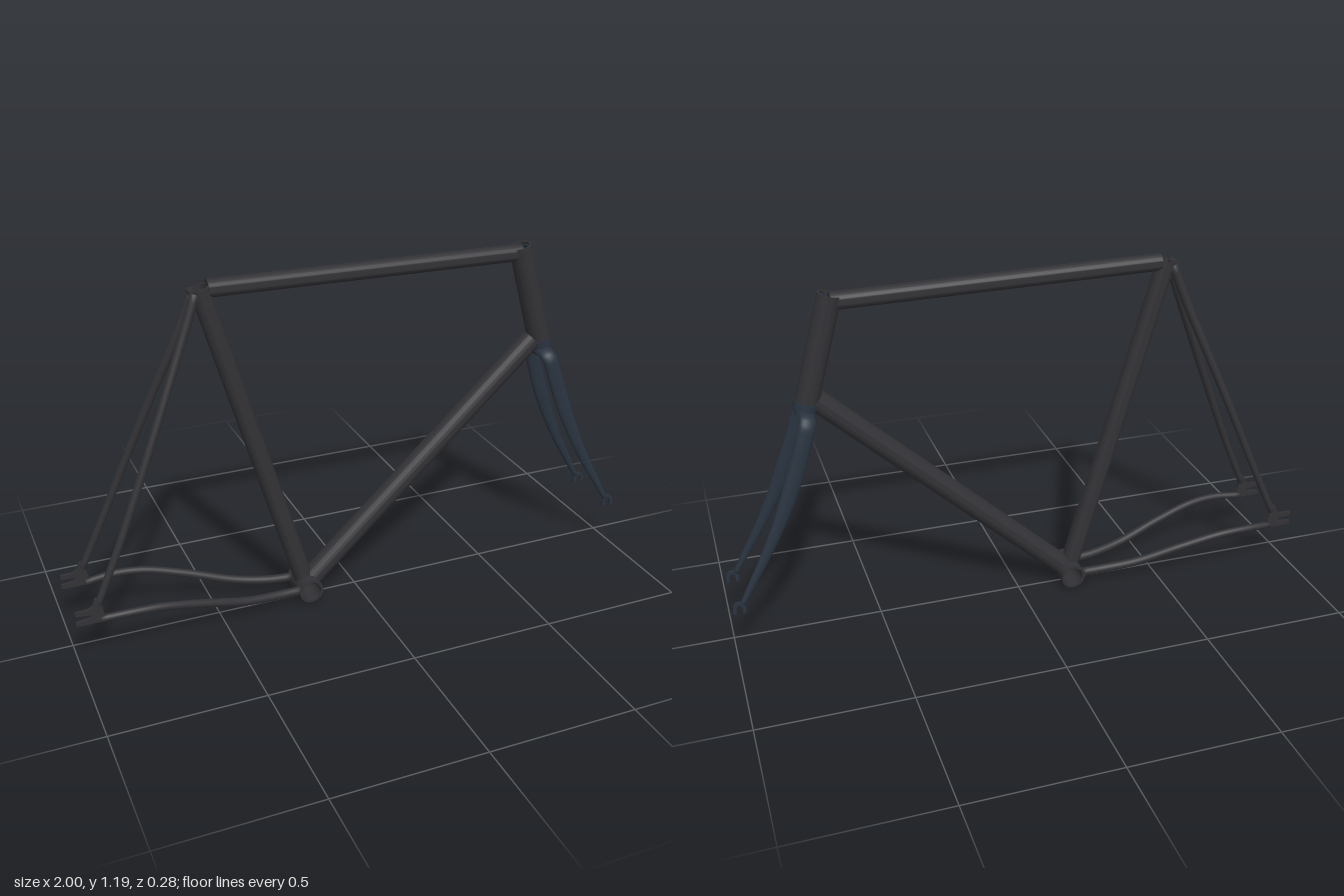
import * as THREE from 'three';
import { toCreasedNormals } from 'three/addons/utils/BufferGeometryUtils.js';

const frameMat = new THREE.MeshStandardMaterial({ color: 0x323236 });
const forkMat = new THREE.MeshStandardMaterial({ color: 0x29333f });
const V = (x, y, z = 0) => new THREE.Vector3(x, y, z);

function add(parent, name, geo, mat) {
  const mesh = new THREE.Mesh(geo, mat);
  mesh.name = name;
  parent.add(mesh);
  return mesh;
}

// Straight tube from a to b with wall; cope > 0 hollows the start to sit on a round shell
function tube(parent, name, a, b, ro, ri, mat, cope = 0) {
  const dir = b.clone().sub(a), len = dir.length();
  const profile = [[ri, 0], [ro, 0], [ro, len], [ri, len], [ri, 0]].map(([x, y]) => new THREE.Vector2(x, y));
  const geo = new THREE.LatheGeometry(profile, 40);
  const p = geo.attributes.position;
  if (cope) for (let i = 0; i < p.count; i++) {
    if (p.getY(i) < 1e-6) p.setY(i, Math.sqrt(Math.max(0, cope ** 2 - p.getX(i) ** 2)));
  }
  const mesh = add(parent, name, toCreasedNormals(geo, 0.6), mat);
  mesh.position.copy(a);
  mesh.quaternion.setFromUnitVectors(V(0, 1, 0), dir.normalize());
  return mesh;
}

// Bent tube with an oval section; size(t) gives the half widths along and across ref
function sweep(points, size, ref, steps = 40, sides = 18) {
  const curve = new THREE.CatmullRomCurve3(points, false, 'centripetal');
  const pos = [], idx = [];
  for (let i = 0; i <= steps; i++) {
    const c = curve.getPointAt(i / steps), t = curve.getTangentAt(i / steps);
    const u = ref.clone().addScaledVector(t, -t.dot(ref)).normalize();
    const v = t.clone().cross(u);
    const [ra, rb] = size(i / steps);
    for (let j = 0; j < sides; j++) {
      const w = j / sides * Math.PI * 2;
      const q = c.clone().addScaledVector(u, Math.cos(w) * ra).addScaledVector(v, Math.sin(w) * rb);
      pos.push(q.x, q.y, q.z);
      const a = i * sides + j, b = i * sides + (j + 1) % sides;
      if (i < steps) idx.push(a, b, a + sides, b, b + sides, a + sides);
    }
  }
  // end caps
  const last = steps * sides, centre = pos.length / 3;
  for (const t of [0, 1]) pos.push(...curve.getPointAt(t).toArray());
  for (let j = 0; j < sides; j++) {
    const k = (j + 1) % sides;
    idx.push(centre, k, j, centre + 1, last + j, last + k);
  }
  const geo = new THREE.BufferGeometry();
  geo.setAttribute('position', new THREE.Float32BufferAttribute(pos, 3));
  geo.setIndex(idx);
  geo.computeVertexNormals();
  return geo;
}

// Flat plate in the xy plane, centred on z
function plate(shape, depth) {
  return new THREE.ExtrudeGeometry(shape, { depth, bevelEnabled: false, curveSegments: 12 }).translate(0, 0, -depth / 2);
}

export function createModel() {
  const model = new THREE.Group();
  model.name = 'bicycleFrame';
  const frame = new THREE.Group(), fork = new THREE.Group();
  frame.name = 'frame';
  fork.name = 'fork';
  model.add(frame, fork);

  // Main triangle
  const bb = V(-0.185, 0.043), seatTop = V(-0.51, 1.163);
  const headTop = V(0.602, 1.166), headLow = V(0.696, 0.824);
  tube(frame, 'bottomBracketShell', bb.clone().setZ(-0.064), bb.clone().setZ(0.064), 0.043, 0.034, frameMat);
  tube(frame, 'seatTube', bb, seatTop, 0.032, 0.026, frameMat, 0.038);
  tube(frame, 'downTube', bb, V(0.668, 0.826), 0.037, 0.001, frameMat, 0.038);
  tube(frame, 'topTube', V(-0.486, 1.158), V(0.603, 1.143), 0.029, 0.001, frameMat);
  tube(frame, 'headTube', headTop, headLow, 0.038, 0.031, frameMat);

  // Seat clamp ear behind the seat tube
  const ear = add(frame, 'seatClampEar', new THREE.CylinderGeometry(0.011, 0.011, 0.04, 20).rotateX(Math.PI / 2), frameMat);
  ear.position.set(-0.535, 1.152, 0);

  // Rear dropout plate with a slot open to the back
  const rear = new THREE.Shape([
    [-0.935, 0.235], [-0.918, 0.235], [-0.912, 0.19], [-0.9, 0.148], [-1, 0.148], [-1, 0.163], [-0.955, 0.168],
    [-0.948, 0.174], [-0.952, 0.181], [-1, 0.184], [-1, 0.199], [-0.958, 0.2], [-0.944, 0.21],
  ].map(([x, y]) => new THREE.Vector2(x, y)));

  for (const [side, s] of [['left', 1], ['right', -1]]) {
    const at = (list) => list.map(([x, y, z]) => V(x, y, z * s));
    // Stays taper to the rear
    add(frame, side + 'SeatStay', sweep(at([
      [-0.527, 1.148, 0.014], [-0.585, 1.0, 0.031], [-0.67, 0.8, 0.063], [-0.755, 0.6, 0.09],
      [-0.84, 0.4, 0.108], [-0.925, 0.212, 0.119],
    ]), (t) => { const r = 0.0155 - 0.004 * t; return [r, r]; }, V(0.95, 0.31, 0)), frameMat);
    add(frame, side + 'ChainStay', sweep(at([
      [-0.222, 0.048, 0.048], [-0.3, 0.052, 0.054], [-0.42, 0.07, 0.074], [-0.58, 0.118, 0.102],
      [-0.72, 0.153, 0.122], [-0.82, 0.161, 0.127], [-0.92, 0.156, 0.118],
    ]), (t) => { const r = 0.0155 - 0.003 * t; return [r, r]; }, V(0, 1, 0)), frameMat);
    add(frame, side + 'RearDropout', plate(rear, 0.009), frameMat).position.z = 0.12 * s;
  }

  // Steerer inside the head tube, and the race ring below it
  const axis = headLow.clone().sub(headTop).normalize();
  const along = (d) => headLow.clone().addScaledVector(axis, d);
  tube(fork, 'steerer', headTop.clone().addScaledVector(axis, 0.008), along(0.05), 0.03, 0.024, forkMat);
  tube(fork, 'crownRace', along(0), along(0.024), 0.04, 0.025, forkMat);

  // Both blades and the crown run as one bent oval tube
  const half = [
    [0.965, 0.19, 0.1], [0.925, 0.262, 0.097], [0.865, 0.37, 0.091], [0.808, 0.49, 0.084], [0.75, 0.64, 0.075],
    [0.718, 0.74, 0.068], [0.709, 0.767, 0.064], [0.704, 0.78, 0.052], [0.703, 0.784, 0.035],
  ];
  const path = [...half.map((p) => V(...p)), V(0.703, 0.785, 0), ...half.map(([x, y, z]) => V(x, y, -z)).reverse()];
  add(fork, 'forkBladesAndCrown', sweep(path, (t) => {
    const k = Math.min(1, (0.5 - Math.abs(t - 0.5)) / 0.3);
    return [0.009 + 0.018 * k, 0.008 + 0.006 * k];
  }, V(0.95, 0.31, 0), 140, 22), forkMat);

  // Front dropouts: small hooks open at the bottom
  const hook = new THREE.Shape();
  hook.moveTo(0.021, -0.02);
  hook.lineTo(0.021, 0);
  hook.absarc(0, 0, 0.021, 0, Math.PI, false);
  hook.lineTo(-0.021, -0.02);
  hook.lineTo(-0.01, -0.02);
  hook.lineTo(-0.01, 0);
  hook.absarc(0, 0, 0.01, Math.PI, 0, true);
  hook.lineTo(0.01, -0.02);
  for (const [side, s] of [['left', 1], ['right', -1]]) {
    add(fork, side + 'FrontDropout', plate(hook, 0.009), forkMat).position.set(0.978, 0.177, 0.1 * s);
  }
  return model;
}
